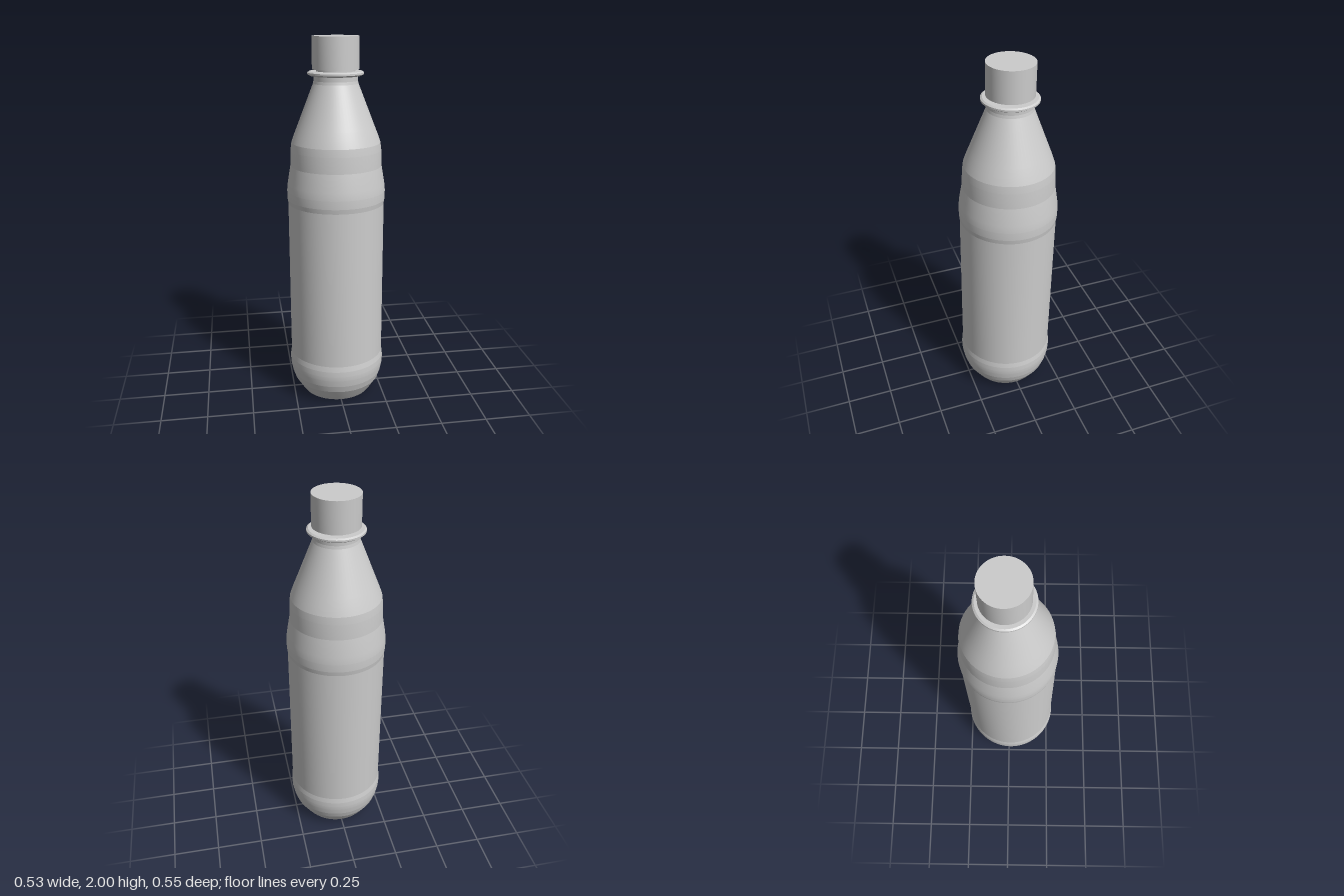
import * as THREE from 'three';
import { toCreasedNormals } from 'three/addons/utils/BufferGeometryUtils.js';

const SEGMENTS = 64;

// Turned part from [radius, height] pairs, listed from the underside upwards
function turned(name, profile) {
  const points = profile.map(([r, y]) => new THREE.Vector2(r, y));
  const geometry = toCreasedNormals(new THREE.LatheGeometry(points, SEGMENTS), 0.13);
  const material = new THREE.MeshStandardMaterial({ color: 0xcccccc, side: THREE.DoubleSide });
  const mesh = new THREE.Mesh(geometry, material);
  mesh.name = name;
  return mesh;
}

export function createModel() {
  const bottle = new THREE.Group();
  bottle.name = 'bottle';

  // Body: recessed base, lower bulge, straight wall, waist ring, shoulder, neck
  bottle.add(turned('body', [
    [0, 0.07], [0.05, 0.075], [0.085, 0.085], [0.1, 0.07], [0.155, 0.02], [0.17, 0.004], [0.18, 0],
    [0.192, 0.004], [0.205, 0.022], [0.242, 0.08], [0.256, 0.12], [0.264, 0.16], [0.266, 0.185],
    [0.265, 0.215], [0.26, 0.245],
    [0.26, 1.12], [0.264, 1.145], [0.265, 1.19], [0.261, 1.23], [0.245, 1.325],
    [0.242, 1.41], [0.237, 1.45], [0.223, 1.49], [0.207, 1.53],
    [0.119, 1.755], [0.116, 1.77], [0.116, 1.8],
  ]));

  // Support ring under the cap
  bottle.add(turned('neckRing', [
    [0.1, 1.795], [0.134, 1.795], [0.147, 1.803], [0.147, 1.812], [0.138, 1.818], [0.1, 1.818],
  ]));

  // Bare neck showing between ring and cap
  bottle.add(turned('neckFinish', [[0.102, 1.81], [0.102, 1.84]]));

  // Screw cap
  bottle.add(turned('cap', [[0, 1.828], [0.123, 1.828], [0.123, 1.994], [0, 1.994]]));

  // The whole bottle leans very slightly backwards
  bottle.rotation.x = -0.018;
  bottle.position.set(0, 0.0035, 0.0133);

  const model = new THREE.Group();
  model.add(bottle);
  return model;
}
